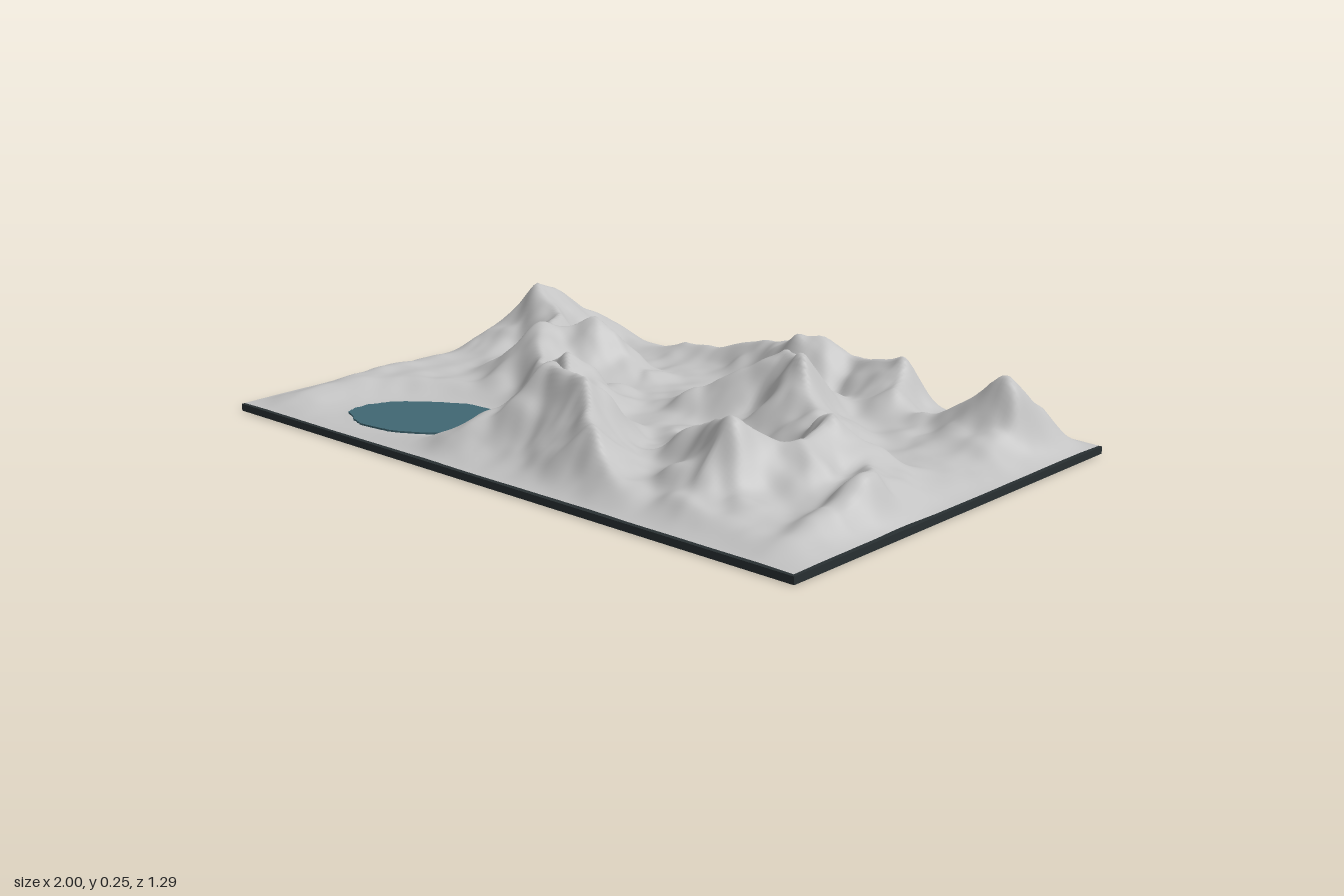
import * as THREE from 'three';

const HALF_X = 0.994, HALF_Z = 0.639, FLOOR = 0.022, TOP = 0.25;
const LAKE = { x: -0.505, z: 0.388, long: 0.217, short: 0.146, tilt: 0.51 };

// Mountain crests: each is a path of [x, z, crest height]
const ridges = [
  // western massif running down to the southern plateau
  [[-0.68, -0.56, 0.12], [-0.78, -0.31, 0.235], [-0.64, -0.25, 0.19], [-0.53, -0.07, 0.2], [-0.36, 0.07, 0.15],
   [-0.23, 0.09, 0.21], [-0.16, 0.19, 0.16], [-0.06, 0.33, 0.27], [0.1, 0.38, 0.25], [0.22, 0.48, 0.17], [0.36, 0.57, 0.09]],
  [[-0.93, -0.47, 0.16], [-0.78, -0.31, 0.235], [-0.92, -0.19, 0.09]],
  [[-0.53, -0.08, 0.2], [-0.43, -0.18, 0.22], [-0.25, -0.23, 0.08]],
  [[-0.06, 0.33, 0.25], [-0.19, 0.56, 0.09]],
  // northern range
  [[-0.36, -0.54, 0.09], [-0.06, -0.55, 0.15], [0.15, -0.46, 0.22], [0.28, -0.54, 0.16], [0.43, -0.51, 0.19], [0.5, -0.41, 0.13]],
  [[0.15, -0.46, 0.22], [0.2, -0.36, 0.11]],
  // central peak and eastern arc
  [[0.07, -0.09, 0.12], [0.25, -0.21, 0.24], [0.34, -0.16, 0.25], [0.5, -0.07, 0.15], [0.69, 0.1, 0.2],
   [0.69, 0.22, 0.17], [0.55, 0.36, 0.24], [0.2, 0.14, 0.08]],
  [[0.55, 0.36, 0.22], [0.58, 0.55, 0.07]],
  // north-east peak
  [[0.95, -0.59, 0.09], [0.88, -0.53, 0.14], [0.82, -0.45, 0.23], [0.63, -0.37, 0.09]],
  [[0.82, -0.45, 0.22], [0.85, -0.33, 0.1]],
  // low eastern and western rims
  [[0.8, 0.09, 0.11], [0.92, 0.24, 0.16], [0.92, 0.38, 0.1]],
  [[-0.92, 0.02, 0.06], [-0.9, 0.32, 0.07]],
];

const { smoothstep, lerp, clamp } = THREE.MathUtils;

// Repeatable lattice noise in -1..1
function hash(i, j) {
  const s = Math.sin(i * 127.1 + j * 311.7) * 43758.5453;
  return (s - Math.floor(s)) * 2 - 1;
}
function noise(x, z) {
  const i = Math.floor(x), j = Math.floor(z);
  const u = smoothstep(x - i, 0, 1), v = smoothstep(z - j, 0, 1);
  const a = lerp(hash(i, j), hash(i + 1, j), u);
  const b = lerp(hash(i, j + 1), hash(i + 1, j + 1), u);
  return lerp(a, b, v);
}

function smoothMax(a, b, k) {
  const t = Math.max(k - Math.abs(a - b), 0) / k;
  return Math.max(a, b) + t * t * k * 0.25;
}

// Height of one crest at a point: falls away with distance from the path
function ridgeHeight(path, x, z, width) {
  let best = 0;
  for (let i = 1; i < path.length; i++) {
    const [ax, az, ah] = path[i - 1], [bx, bz, bh] = path[i];
    const dx = bx - ax, dz = bz - az;
    const t = clamp(((x - ax) * dx + (z - az) * dz) / (dx * dx + dz * dz), 0, 1);
    const d = Math.hypot(x - ax - dx * t, z - az - dz * t);
    // crests sag a little between their summits
    const h = (lerp(ah, bh, smoothstep(t, 0, 1)) - FLOOR) * (1 - 0.08 * Math.sin(Math.PI * t));
    best = Math.max(best, h * Math.exp(-Math.pow(d / width, 1.35)));
  }
  return best;
}

function terrainHeight(x, z) {
  // wobble the crests so that they wander
  const wx = x + 0.022 * noise(x * 9, z * 9) + 0.008 * noise(x * 22, z * 22);
  const wz = z + 0.022 * noise(x * 9 + 40, z * 9) + 0.008 * noise(x * 22 + 40, z * 22);
  const width = 0.125 + 0.035 * noise(x * 11 + 7, z * 11 + 3);
  let h = 0.026 + 0.014 * noise(x * 5 + 11, z * 5);
  for (const path of ridges) h = smoothMax(h, ridgeHeight(path, wx, wz, width), 0.025);
  h *= 1 + 0.08 * noise(x * 13 + 3, z * 13 + 9);
  h += 0.004 * noise(x * 18, z * 18 + 9);

  // lake basin
  const lx = x - LAKE.x, lz = z - LAKE.z, c = Math.cos(LAKE.tilt), s = Math.sin(LAKE.tilt);
  const r = Math.hypot((lx * c - lz * s) / LAKE.long, (lx * s + lz * c) / LAKE.short);
  h *= smoothstep(r, 1.04, 1.9);

  // slope down to the edges of the board
  h *= smoothstep(HALF_X - Math.abs(x), -0.02, 0.12) * smoothstep(HALF_Z - Math.abs(z), -0.02, 0.12);
  return Math.min(FLOOR + Math.max(h, 0), TOP);
}

// Tilted oval with an uneven shore
function lakeOutline() {
  const points = [];
  for (let i = 0; i < 120; i++) {
    const a = (i / 120) * Math.PI * 2, cx = Math.cos(a), cy = Math.sin(a);
    const r = 1 + 0.05 * noise(cx * 3 + 5, cy * 3) + 0.025 * noise(cx * 16, cy * 16);
    points.push(new THREE.Vector2(cx * LAKE.long * r, cy * LAKE.short * r).rotateAround(new THREE.Vector2(), LAKE.tilt));
  }
  return new THREE.Shape(points);
}

export function createModel() {
  const rock = new THREE.MeshStandardMaterial({ color: 0xc2c2c2 });
  rock.name = 'grey rock';
  const water = new THREE.MeshStandardMaterial({ color: 0x406773 });
  water.name = 'lake blue';
  const board = new THREE.MeshStandardMaterial({ color: 0x293032 });
  board.name = 'dark board';

  const model = new THREE.Group();
  model.name = 'reliefMap';
  const add = (name, geometry, material) => {
    const mesh = new THREE.Mesh(geometry, material);
    mesh.name = name;
    model.add(mesh);
  };

  // Base board
  add('baseBoard', new THREE.BoxGeometry(2, 0.02, 1.29).translate(0, 0.01, 0), board);

  // Mountains
  const land = new THREE.PlaneGeometry(HALF_X * 2, HALF_Z * 2, 220, 142).rotateX(-Math.PI / 2);
  const p = land.attributes.position;
  for (let i = 0; i < p.count; i++) p.setY(i, terrainHeight(p.getX(i), p.getZ(i)));
  land.computeVertexNormals();
  add('mountains', land, rock);

  // Lake surface
  const lake = new THREE.ExtrudeGeometry(lakeOutline(), { depth: 0.005, bevelEnabled: false });
  add('lake', lake.rotateX(-Math.PI / 2).translate(LAKE.x, FLOOR, LAKE.z), water);

  return model;
}
